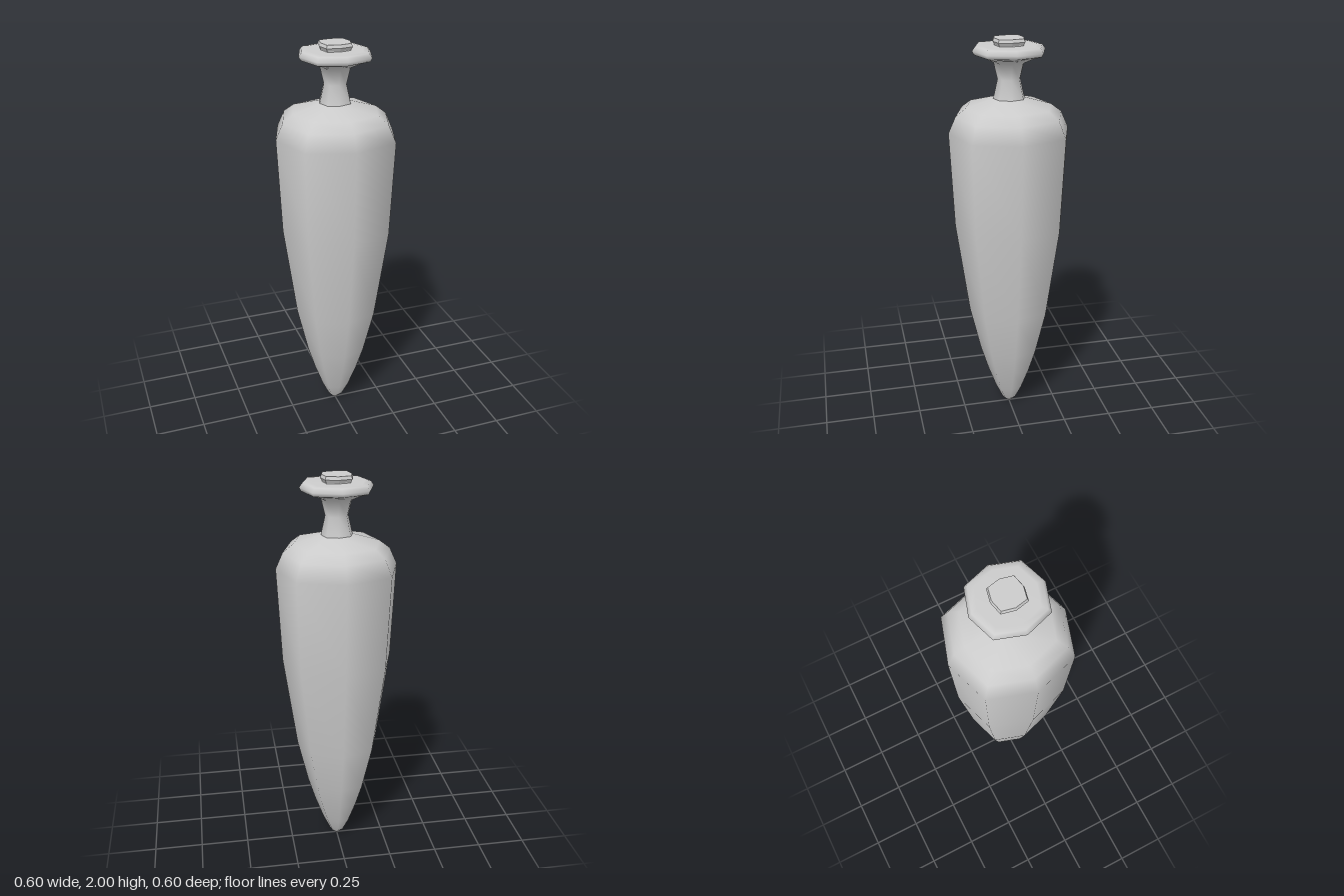
import * as THREE from 'three';
import { mergeVertices } from 'three/addons/utils/BufferGeometryUtils.js';

// Eight-sided lathe whose diagonal corners are pushed out by the given factor
function octagonLathe(name, profile, diagonal, flatShading = false) {
  const points = profile.map(([r, y]) => new THREE.Vector2(r, y));
  let geometry = new THREE.LatheGeometry(points, 8);
  const pos = geometry.attributes.position;
  for (let i = 0; i < pos.count; i++) {
    const side = Math.floor(i / points.length);
    const k = side % 2 ? diagonal : 1;
    pos.setX(i, pos.getX(i) * k);
    pos.setZ(i, pos.getZ(i) * k);
  }
  // Weld the seam so smooth normals run all the way round
  geometry.deleteAttribute('uv');
  geometry.deleteAttribute('normal');
  geometry = mergeVertices(geometry, 1e-4);
  geometry.computeVertexNormals();
  const material = new THREE.MeshStandardMaterial({ color: 0xcccccc, flatShading });
  const mesh = new THREE.Mesh(geometry, material);
  mesh.name = name;
  return mesh;
}

export function createModel() {
  const group = new THREE.Group();
  group.name = 'amphora';

  // Long tapering body with a pointed foot and rounded shoulder
  group.add(octagonLathe('body', [
    [0, 0], [0.012, 0.008], [0.038, 0.035], [0.073, 0.11], [0.116, 0.23],
    [0.155, 0.36], [0.21, 0.6], [0.276, 1.077], [0.298, 1.555],
    [0.262, 1.635], [0.21, 1.675], [0.075, 1.715], [0, 1.73],
  ], 1.067));

  // Waisted neck flaring into a wide lip
  group.add(octagonLathe('neckAndLip', [
    [0.078, 1.71], [0.056, 1.807], [0.075, 1.886], [0.125, 1.911],
    [0.168, 1.925], [0.177, 1.943], [0.162, 1.963], [0.135, 1.967], [0, 1.967],
  ], 1.067));

  // Faceted stopper on top
  group.add(octagonLathe('stopper', [
    [0.07, 1.96], [0.07, 1.97], [0.078, 1.985], [0.072, 2], [0, 2],
  ], 1.16, true));

  return group;
}
